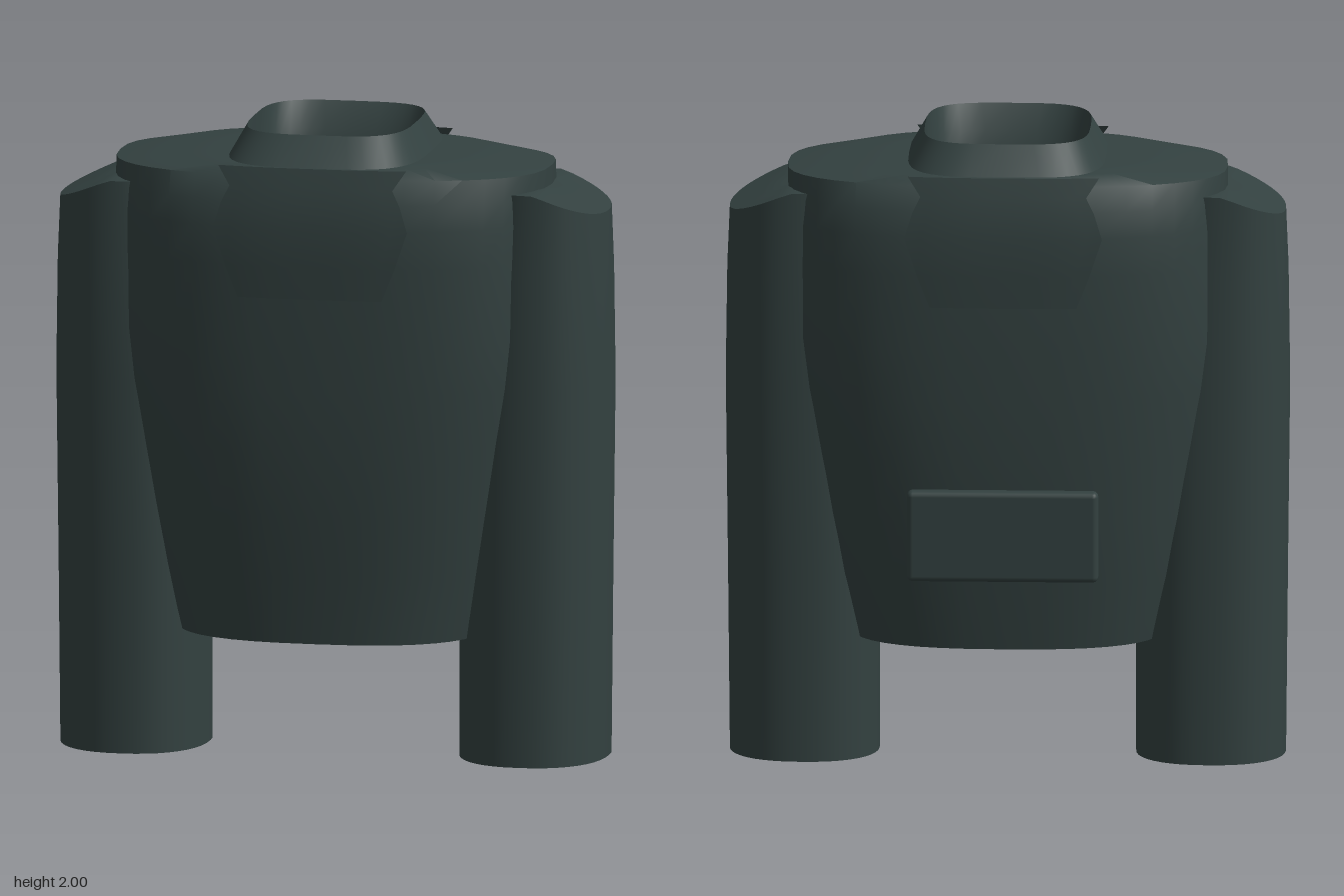
import * as THREE from 'three';
import { toCreasedNormals } from 'three/addons/utils/BufferGeometryUtils.js';
import { RoundedBoxGeometry } from 'three/addons/geometries/RoundedBoxGeometry.js';

const fabric = new THREE.MeshStandardMaterial({ color: 0x334140, side: THREE.DoubleSide });
fabric.name = 'dark green fabric';

const power = (v, p) => Math.sign(v) * Math.pow(Math.abs(v), p);

// Joins rows of points into a surface, optionally wrapping each row into a ring
function skin(rows, wrap, crease = 0.75) {
  const n = rows[0].length, index = [];
  for (let j = 0; j < rows.length - 1; j++) {
    for (let i = 0; i < (wrap ? n : n - 1); i++) {
      const k = (i + 1) % n, a = j * n, b = a + n;
      index.push(a + i, b + i, b + k, a + i, b + k, a + k);
    }
  }
  const geo = new THREE.BufferGeometry();
  geo.setAttribute('position', new THREE.Float32BufferAttribute(rows.flat(2), 3));
  geo.setIndex(index);
  return toCreasedNormals(geo, crease);
}

// Rounded cross-section: half width, front depth, back depth, squareness
function ring(y, half, front, back, square, cx = 0, heightAt = null) {
  const points = [];
  for (let i = 0; i < 40; i++) {
    const a = -i / 40 * Math.PI * 2, c = Math.cos(a), s = Math.sin(a);
    const x = cx + half * power(c, 2 / square);
    const z = power(s, 2 / square) * (s > 0 ? front : back);
    points.push([x, heightAt ? heightAt(x) : y, z]);
  }
  return points;
}

export function createModel() {
  const group = new THREE.Group();
  const add = (name, geometry) => {
    const mesh = new THREE.Mesh(geometry, fabric);
    mesh.name = name;
    group.add(mesh);
    return mesh;
  };

  // Body, open at the hem, closing over the shoulders to the neck hole
  add('body', skin([
    [0.39, 0.49, 0.38, 0.335, 2.6],
    [0.6, 0.55, 0.4, 0.365, 2.6],
    [0.8, 0.595, 0.42, 0.385, 2.6],
    [1.0, 0.635, 0.435, 0.4, 2.6],
    [1.2, 0.67, 0.44, 0.405, 2.7],
    [1.36, 0.69, 0.44, 0.407, 2.7],
    [1.6, 0.69, 0.44, 0.405, 2.7],
    [1.72, 0.69, 0.434, 0.397, 2.7],
    [1.8, 0.69, 0.415, 0.378, 2.7],
    [1.875, 0.69, 0.38, 0.34, 2.7],
    [1.905, 0.5, 0.345, 0.31, 2.7],
    [1.91, 0.31, 0.3, 0.265, 3.2],
    [1.84, 0.26, 0.25, 0.21, 3.2],
  ].map((r) => ring(...r)), true));

  // Sleeves, open at the cuff, with a sloping cap at the shoulder
  const slope = (x) => Math.min(1.82, 1.74 + (0.87 - x) * 0.42);
  const rows = [
    ring(0, 0.235, 0.28, 0.23, 2.3, 0.637),
    ring(0.6, 0.238, 0.28, 0.23, 2.3, 0.64),
    ring(1.2, 0.235, 0.28, 0.23, 2.3, 0.65),
    ring(1.55, 0.22, 0.275, 0.225, 2.3, 0.66),
    ring(0, 0.2, 0.262, 0.222, 2.3, 0.672, slope),
    ring(0, 0.1, 0.13, 0.11, 2.3, 0.672, slope),
    ring(0, 0.005, 0.005, 0.005, 2.3, 0.672, slope),
  ];
  const mirrored = rows.map((r) => r.map(([x, y, z]) => [-x, y, z]).reverse());
  add('leftSleeve', skin(rows, true));
  add('rightSleeve', skin(mirrored, true));

  // Collar band: outer slope, rim, and inner neck wall
  add('collar', skin([
    ring(1.91, 0.31, 0.4, 0.36, 3.6),
    ring(2.0, 0.26, 0.315, 0.285, 3.6),
    ring(1.92, 0.26, 0.27, 0.23, 3.2),
    ring(1.84, 0.26, 0.25, 0.21, 3.2),
  ], true));

  // Collar flaps lying on the chest and the upper back
  const flapProfile = [
    [1.91, 0.3, 0.41], [1.85, 0.26, 0.427], [1.8, 0.285, 0.438],
    [1.72, 0.31, 0.451], [1.6, 0.27, 0.45], [1.5, 0.23, 0.447],
  ];
  for (const [name, side] of [['frontFlap', 1], ['backFlap', -1]]) {
    add(name, skin(flapProfile.map(([y, half, depth]) => {
      const row = [];
      for (let i = 0; i <= 12; i++) {
        const x = half * (i / 6 - 1);
        const bend = Math.pow(1 - Math.pow(Math.abs(x) / 0.69, 2.7), 1 / 2.7);
        row.push([-x * side, y, side * (side > 0 ? depth : depth - 0.036) * bend]);
      }
      return row;
    }), false));
  }

  // Raised panel on the lower back
  const panel = add('backPanel', new RoundedBoxGeometry(0.6, 0.29, 0.055, 2, 0.018));
  panel.position.set(0, 0.775, -0.43);

  return group;
}
